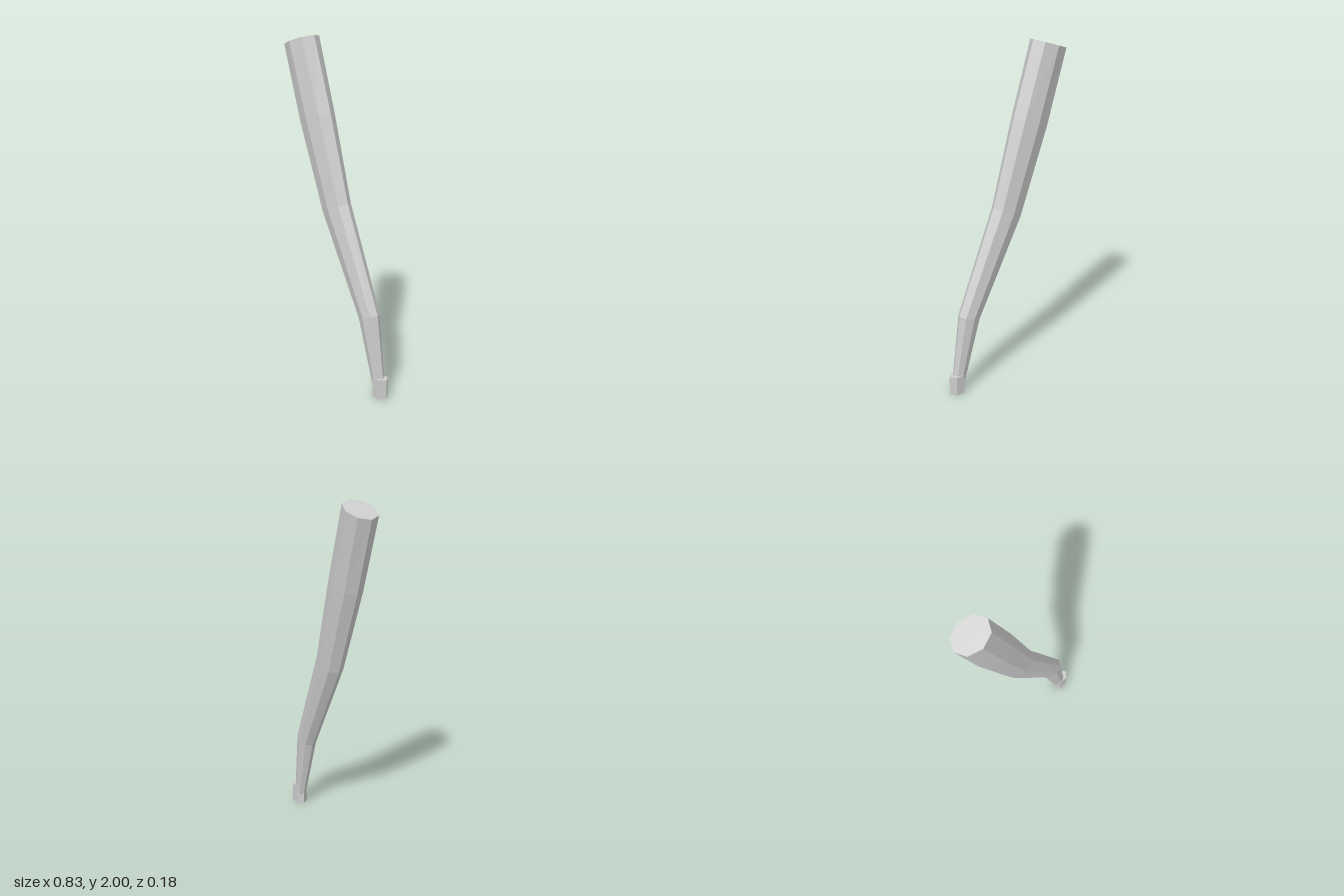
import * as THREE from 'three';

const material = new THREE.MeshStandardMaterial({ color: 0xcccccc, flatShading: true });
const SIDES = 8;

// Leg rings, bottom to top: outer -x point, outer +x point, half depth in z
const RINGS = [
  { a: [0.312, 0.055], b: [0.388, 0.085], depth: 0.031 },
  { a: [0.2, 0.44], b: [0.335, 0.48], depth: 0.053 },
  { a: [-0.1, 1.0], b: [0.085, 1.08], depth: 0.069 },
  { a: [-0.285, 1.5], b: [-0.06, 1.58], depth: 0.085 },
  { a: [-0.415, 1.93], b: [-0.197, 2.0], depth: 0.091 },
];

// Lofts tilted elliptical rings into a closed, faceted tube
function loft(rings) {
  const points = [];
  const faces = [];
  for (const { a, b, depth } of rings) {
    for (let i = 0; i < SIDES; i++) {
      const angle = (i / SIDES) * Math.PI * 2;
      const t = (1 + Math.cos(angle)) / 2;
      points.push(
        THREE.MathUtils.lerp(a[0], b[0], t),
        THREE.MathUtils.lerp(a[1], b[1], t),
        -Math.sin(angle) * depth,
      );
    }
  }
  for (let r = 0; r < rings.length - 1; r++) {
    for (let i = 0; i < SIDES; i++) {
      const p = r * SIDES + i;
      const q = r * SIDES + ((i + 1) % SIDES);
      faces.push(p, q, q + SIDES, p, q + SIDES, p + SIDES);
    }
  }
  // End caps
  const top = (rings.length - 1) * SIDES;
  for (let i = 1; i < SIDES - 1; i++) {
    faces.push(0, i + 1, i, top, top + i, top + i + 1);
  }
  const geometry = new THREE.BufferGeometry();
  geometry.setAttribute('position', new THREE.Float32BufferAttribute(points, 3));
  geometry.setIndex(faces);
  const flat = geometry.toNonIndexed();
  flat.computeVertexNormals();
  return flat;
}

export function createModel() {
  const model = new THREE.Group();
  model.name = 'curvedLeg';

  // Tapering, bent octagonal leg
  const leg = new THREE.Mesh(loft(RINGS), material);
  leg.name = 'leg';
  model.add(leg);

  // Narrow hexagonal foot with points facing left and right
  const footGeometry = new THREE.CylinderGeometry(0.053, 0.053, 0.115, 6);
  footGeometry.rotateY(Math.PI / 2);
  footGeometry.scale(1, 1, 0.76);
  const foot = new THREE.Mesh(footGeometry, material);
  foot.name = 'foot';
  foot.position.set(0.361, 0.0575, 0);
  model.add(foot);

  return model;
}
